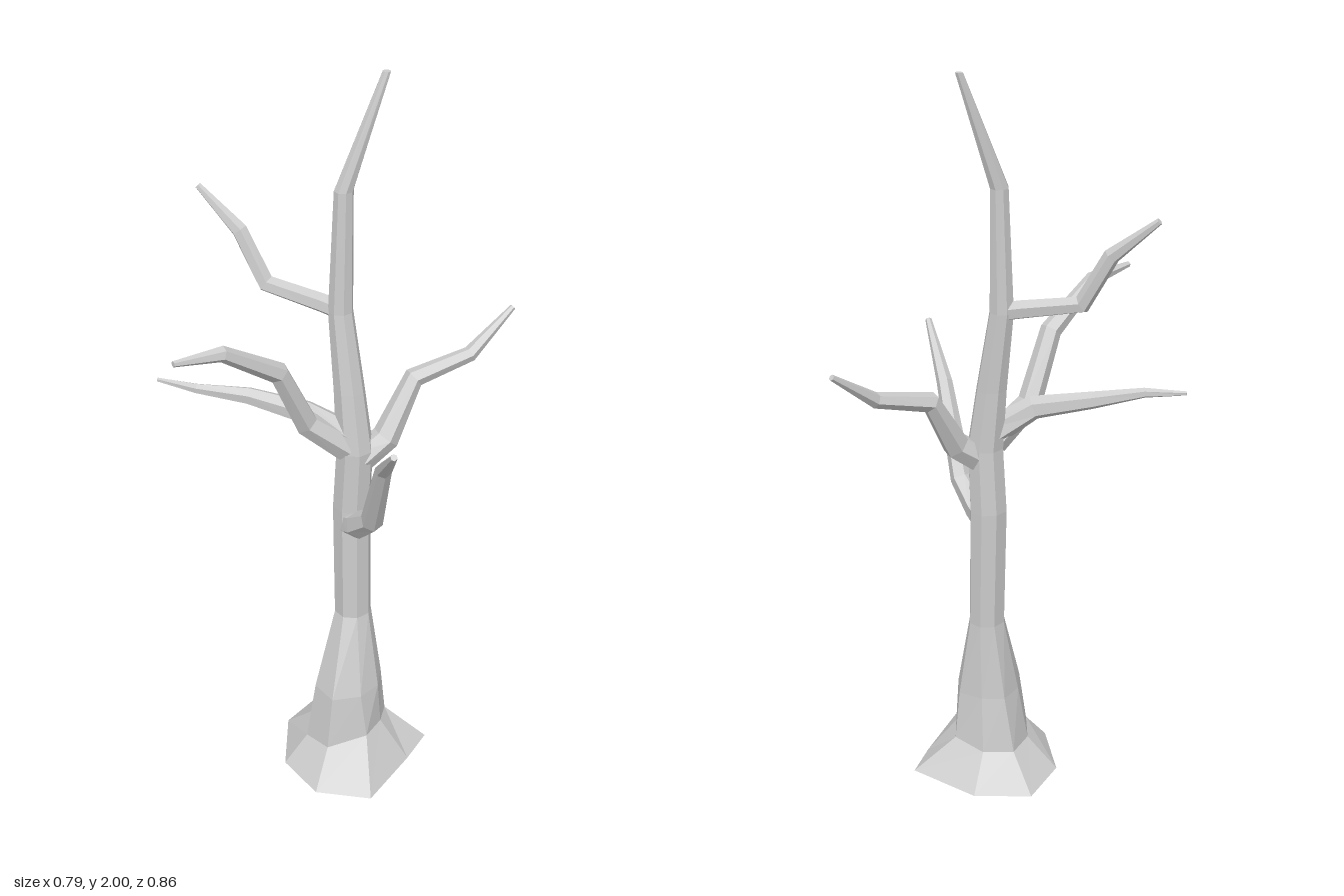
import * as THREE from 'three';

const material = new THREE.MeshStandardMaterial({ color: 0xcccccc, flatShading: true, side: THREE.DoubleSide });
const V = (x, y, z) => new THREE.Vector3(x, y, z);

// Skin a stack of rings (equal point counts) and close the far end
function loft(name, rings) {
  const n = rings[0].length;
  const positions = [];
  const tri = (a, b, c) => [a, b, c].forEach((p) => positions.push(p.x, p.y, p.z));
  for (let k = 0; k < rings.length - 1; k++) {
    for (let i = 0; i < n; i++) {
      const j = (i + 1) % n;
      const [a, b, c, d] = [rings[k][i], rings[k][j], rings[k + 1][i], rings[k + 1][j]];
      tri(a, c, b);
      tri(b, c, d);
    }
  }
  const end = rings[rings.length - 1];
  for (let i = 1; i < n - 1; i++) tri(end[0], end[i + 1], end[i]);
  const geometry = new THREE.BufferGeometry();
  geometry.setAttribute('position', new THREE.Float32BufferAttribute(positions, 3));
  geometry.computeVertexNormals();
  const mesh = new THREE.Mesh(geometry, material);
  mesh.name = name;
  return mesh;
}

// Level elliptical ring; its first point lies at the back left
function levelRing(x, y, z, rx, rz, n = 8) {
  return Array.from({ length: n }, (_, i) => {
    const a = -0.75 * Math.PI + (i / n) * Math.PI * 2;
    return V(x + rx * Math.cos(a), y, z + rz * Math.sin(a));
  });
}

// Tapering branch through stations [x, y, z, radius]
function branch(name, stations, sides = 6) {
  const points = stations.map(([x, y, z]) => V(x, y, z));
  const up = V(0, 1, 0);
  const rings = points.map((p, k) => {
    const before = points[Math.max(k - 1, 0)];
    const after = points[Math.min(k + 1, points.length - 1)];
    const inDir = p.clone().sub(before).normalize();
    const outDir = after.clone().sub(p).normalize();
    const q = new THREE.Quaternion().setFromUnitVectors(up, inDir.add(outDir).normalize());
    return levelRing(0, 0, 0, stations[k][3], stations[k][3], sides).map((v) => v.applyQuaternion(q).add(p));
  });
  return loft(name, rings);
}

export function createModel() {
  const tree = new THREE.Group();
  tree.name = 'bareTree';

  // Flared root skirt and trunk, open underneath
  const ground = [[-0.07, -0.16], [0.08, -0.21], [0.285, -0.145], [0.29, -0.03],
    [0.285, 0.175], [0.14, 0.23], [0, 0.165], [-0.09, 0]].map(([x, z]) => V(x, 0, z));
  const collar = [[0.01, 0.08, -0.08], [0.09, 0.08, -0.11], [0.18, 0.1, -0.09], [0.205, 0.11, -0.02],
    [0.205, 0.11, 0.06], [0.125, 0.09, 0.14], [0.04, 0.08, 0.11], [0, 0.08, 0.01]].map((p) => V(...p));
  const lower = [[0.04, 0.24, -0.07], [0.1, 0.24, -0.09], [0.17, 0.24, -0.08], [0.2, 0.24, -0.01],
    [0.185, 0.24, 0.06], [0.125, 0.24, 0.115], [0.05, 0.24, 0.08], [0.025, 0.24, 0]].map((p) => V(...p));
  tree.add(loft('trunk', [
    ground, collar, lower,
    levelRing(0.105, 0.46, -0.03, 0.05, 0.053),
    levelRing(0.097, 0.8, -0.032, 0.052, 0.053),
    levelRing(0.105, 0.98, -0.03, 0.05, 0.05),
    levelRing(0.085, 1.15, -0.033, 0.042, 0.042),
    levelRing(0.053, 1.37, -0.04, 0.033, 0.034),
    levelRing(0.055, 1.7, -0.048, 0.025, 0.027),
    levelRing(0.13, 2, -0.122, 0.011, 0.009),
  ]));

  // Branches, from lowest to highest
  tree.add(branch('lowLeftBranch', [
    [0.1, 0.75, -0.02, 0.04], [0.145, 0.775, 0.015, 0.038], [0.21, 0.835, 0.06, 0.031],
    [0.295, 1.07, 0.16, 0.022], [0.388, 1.2, 0.28, 0.009],
  ]));
  tree.add(branch('backBranch', [
    [0.12, 0.95, -0.04, 0.04], [0.165, 1.0, -0.09, 0.038], [0.2, 1.15, -0.175, 0.028],
    [0.3, 1.19, -0.3, 0.021], [0.36, 1.29, -0.425, 0.008],
  ]));
  tree.add(branch('frontBranch', [
    [0.09, 0.99, -0.01, 0.04], [0.015, 1.08, 0.07, 0.034], [-0.015, 1.26, 0.155, 0.029],
    [-0.085, 1.365, 0.305, 0.021], [-0.148, 1.375, 0.425, 0.008],
  ]));
  tree.add(branch('sideBranch', [
    [0.09, 1.02, -0.02, 0.04], [-0.01, 1.085, 0.03, 0.033], [-0.16, 1.11, 0.07, 0.024],
    [-0.285, 1.125, 0.13, 0.014], [-0.395, 1.13, 0.15, 0.006],
  ]));
  tree.add(branch('highRightBranch', [
    [0.05, 1.37, -0.04, 0.026], [0.0, 1.38, -0.035, 0.026], [-0.155, 1.405, -0.015, 0.025],
    [-0.23, 1.54, -0.01, 0.022], [-0.35, 1.64, -0.003, 0.009],
  ]));
  return tree;
}
